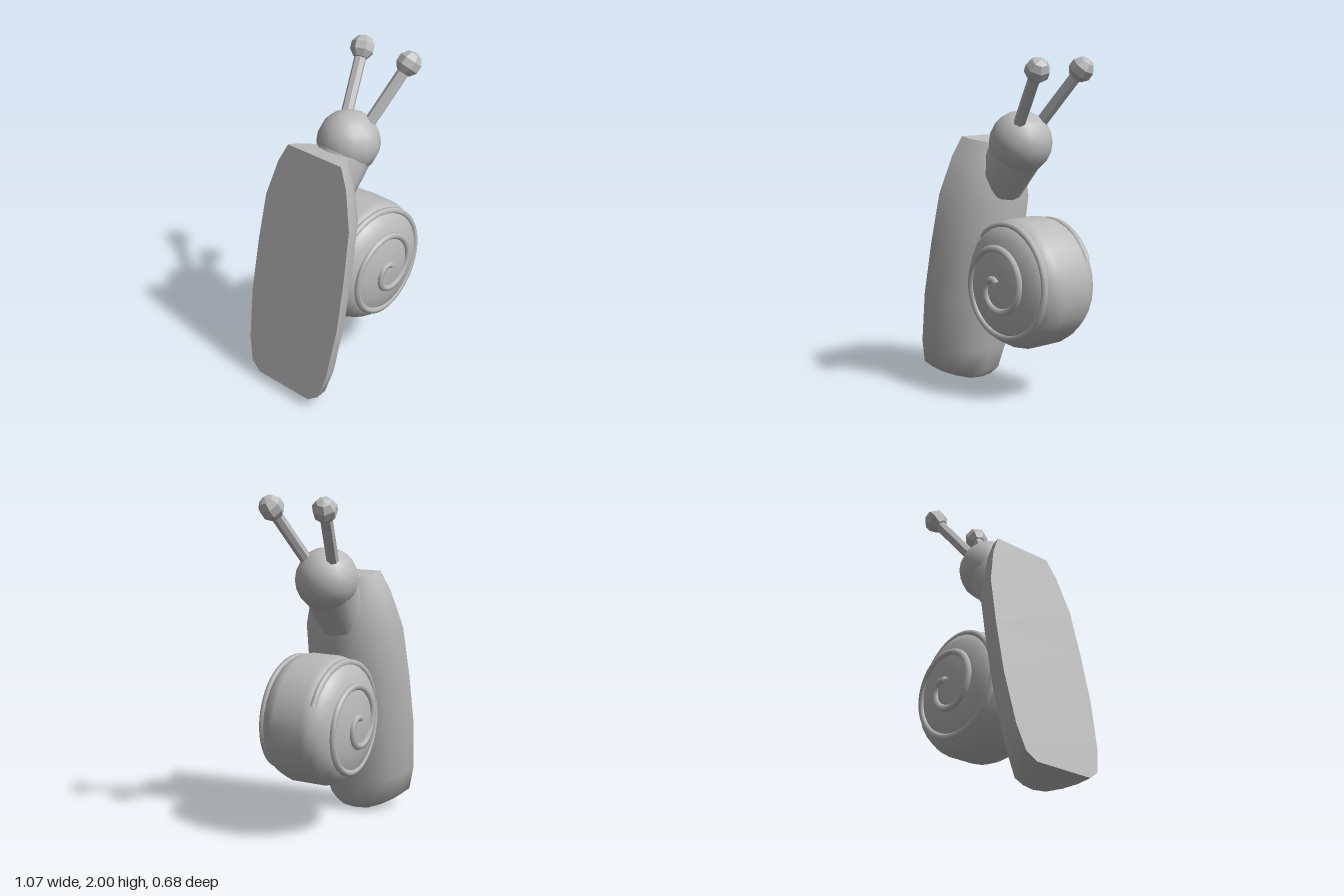
import * as THREE from 'three';
import { toCreasedNormals } from 'three/addons/utils/BufferGeometryUtils.js';

const grey = new THREE.MeshStandardMaterial({ color: 0xbbbbbb });
grey.name = 'plain grey';

function add(parent, geometry, name) {
  const mesh = new THREE.Mesh(geometry, grey);
  mesh.name = name;
  parent.add(mesh);
  return mesh;
}

// Domed foot with a flat sole: rounded cross-sections stacked along y
function footGeometry() {
  const half = [[1, 0], [0.93, 0.33], [0.73, 0.66], [0.42, 0.94], [0, 1]];
  const outline = [...half, ...half.slice(0, -1).reverse().map(([z, n]) => [-z, n])];
  // height, half width, thickness
  const sections = [
    [0, 0.2, 0.25], [0.05, 0.27, 0.278], [0.2, 0.31, 0.285], [0.52, 0.338, 0.285],
    [0.85, 0.335, 0.283], [1.15, 0.32, 0.28], [1.38, 0.258, 0.225], [1.5, 0.2, 0.19],
  ];
  const pos = [], idx = [], count = outline.length, last = sections.length - 1;
  for (const [u, w, h] of sections) for (const [z, n] of outline) pos.push(n * h, u, z * w);
  const bottom = pos.length / 3, top = bottom + 1;
  pos.push(0.09, -0.04, 0, 0.09, 1.505, 0);
  for (let j = 0; j < count; j++) {
    const k = (j + 1) % count;
    for (let i = 0; i < last; i++) {
      const a = i * count + j, b = i * count + k;
      idx.push(a, b, b + count, a, b + count, a + count);
    }
    idx.push(bottom, k, j, top, last * count + j, last * count + k);
  }
  const g = new THREE.BufferGeometry();
  g.setAttribute('position', new THREE.Float32BufferAttribute(pos, 3));
  g.setIndex(idx);
  return toCreasedNormals(g, 0.9);
}

// Tapered rod between two points
function rod(parent, name, from, to, r0, r1, sides) {
  const dir = to.clone().sub(from);
  const g = toCreasedNormals(new THREE.CylinderGeometry(r1, r0, dir.length(), sides), sides > 8 ? 0.9 : 0.3);
  const mesh = add(parent, g, name);
  mesh.position.copy(from).add(to).multiplyScalar(0.5);
  mesh.quaternion.setFromUnitVectors(new THREE.Vector3(0, 1, 0), dir.normalize());
  return mesh;
}

// Shell profile: radius, distance from the middle plane
const profile = [[0, 0.27], [0.1, 0.264], [0.2, 0.247], [0.29, 0.222], [0.345, 0.18], [0.372, 0.13], [0.384, 0.09]];

function shellDepth(r) {
  for (let i = 1; i < profile.length; i++) {
    const [r0, z0] = profile[i - 1], [r1, z1] = profile[i];
    if (r <= r1) return z0 + (z1 - z0) * (r - r0) / (r1 - r0);
  }
  return 0.09;
}

// Raised spiral following the shell's side
function spiralGeometry() {
  const points = [];
  for (let i = 0; i <= 60; i++) {
    const t = i / 60;
    const a = THREE.MathUtils.degToRad(155 - 800 * t);
    const r = 0.365 - 0.335 * Math.pow(t, 1.35);
    points.push(new THREE.Vector3(r * Math.cos(a), r * Math.sin(a), shellDepth(r)));
  }
  return new THREE.TubeGeometry(new THREE.CatmullRomCurve3(points), 110, 0.021, 6);
}

export function createModel() {
  const model = new THREE.Group();
  model.name = 'snail';

  // Foot, leaning toward +x
  const foot = add(model, footGeometry(), 'foot');
  foot.position.set(-0.535, 0.06, 0);
  foot.rotation.z = -0.2045;

  // Neck and head
  const headCentre = new THREE.Vector3(0.066, 1.5, 0);
  rod(model, 'neck', new THREE.Vector3(-0.125, 1.235, 0), headCentre, 0.145, 0.172, 12);
  add(model, new THREE.SphereGeometry(0.187, 14, 10), 'head').position.copy(headCentre);

  // Eye stalks with faceted eyes
  for (const side of [1, -1]) {
    const tip = new THREE.Vector3(0.39, 1.928, 0.172 * side);
    const stalk = rod(model, 'eyeStalk', new THREE.Vector3(0.14, 1.605, 0.083 * side), tip, 0.036, 0.036, 7);
    const eye = add(model, toCreasedNormals(new THREE.SphereGeometry(0.075, 7, 5), 0.1), 'eye');
    eye.position.copy(tip);
    eye.quaternion.copy(stalk.quaternion);
  }

  // Shell with a spiral on each side
  const shell = new THREE.Group();
  shell.name = 'shell';
  shell.position.set(0.147, 0.68, 0);
  const whole = [...profile.map(([r, z]) => [r, -z]), ...profile.slice().reverse()];
  const lathe = new THREE.LatheGeometry(whole.map(([r, z]) => new THREE.Vector2(r, z)), 28);
  add(shell, lathe.rotateX(Math.PI / 2), 'shellBody');
  const spiral = spiralGeometry();
  add(shell, spiral, 'frontSpiral');
  add(shell, spiral, 'backSpiral').rotation.y = Math.PI;
  model.add(shell);

  return model;
}
